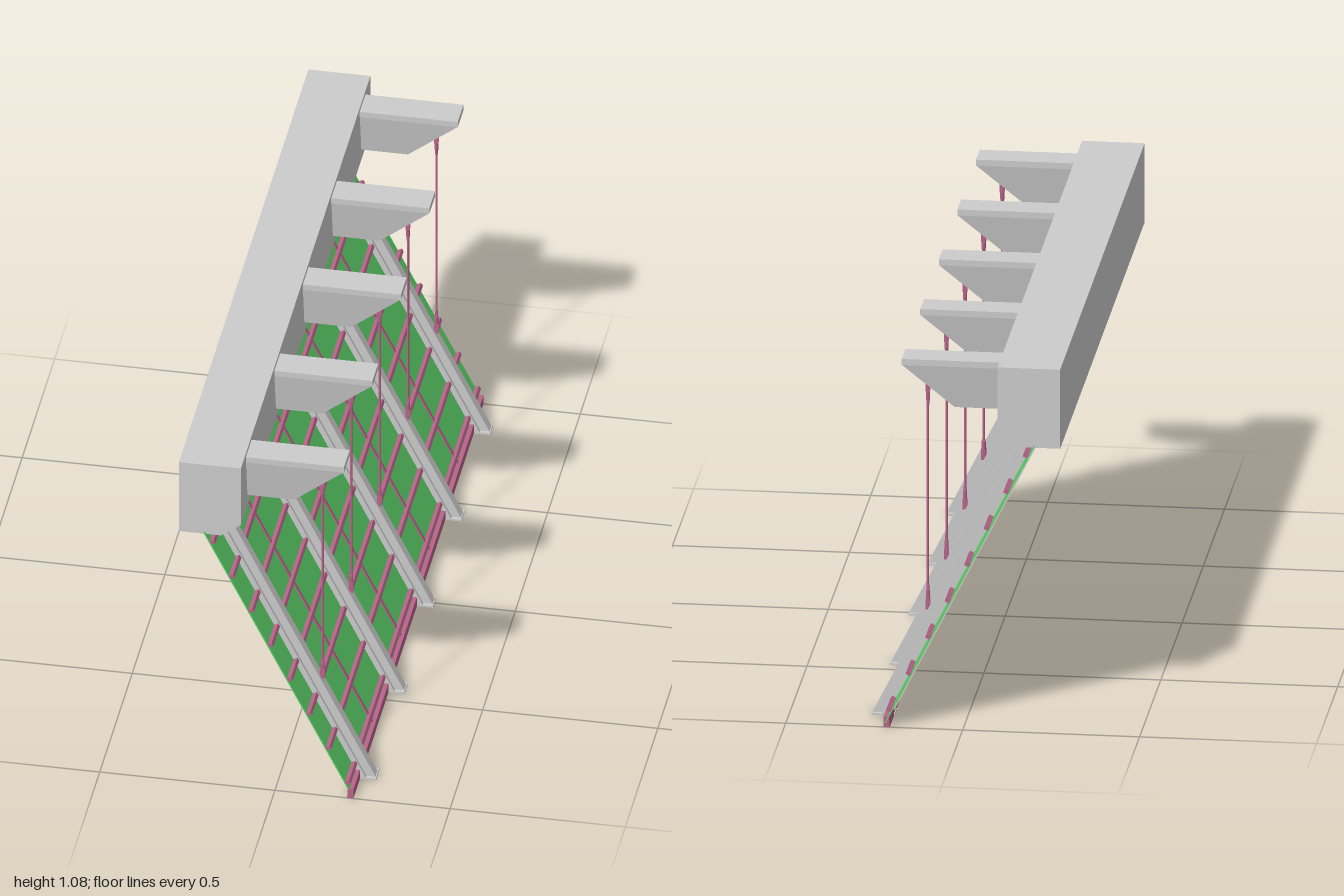
import * as THREE from 'three';

const grey = new THREE.MeshStandardMaterial({ color: 0xcccccc, flatShading: true });
const green = new THREE.MeshStandardMaterial({ color: 0x5fd46c, flatShading: true });
const pink = new THREE.MeshStandardMaterial({ color: 0xb8648a, flatShading: true });

const TOP = 0.845, SLOPE = 0.42 / 0.835;
const ANGLE = Math.atan(SLOPE);
// x of the sloping back line at height y
const backX = (y) => -0.212 + (TOP - y) * SLOPE;

function add(parent, name, geometry, material) {
  const mesh = new THREE.Mesh(geometry, material);
  mesh.name = name;
  parent.add(mesh);
  return mesh;
}

// Side profile (x, y) extruded along z, centred on z = 0
function prism(points, width) {
  const shape = new THREE.Shape(points.map(([x, y]) => new THREE.Vector2(x, y)));
  return new THREE.ExtrudeGeometry(shape, { depth: width, bevelEnabled: false }).translate(0, 0, -width / 2);
}

// Sloping slab between two horizontal offsets from the back line
function slab(d0, d1, y0, y1, width) {
  return prism([
    [backX(y0) + d0, y0], [backX(y0) + d1, y0],
    [backX(y1) + d1, y1], [backX(y1) + d0, y1],
  ], width);
}

function makeBracket() {
  const g = new THREE.Group();
  g.name = 'roofBracket';
  // Corbel narrows towards its underside
  const corbel = prism([[-0.1, 0.92], [0.035, 0.92], [0.182, 1.047], [-0.1, 1.047]], 0.084);
  const p = corbel.attributes.position;
  for (let i = 0; i < p.count; i++) {
    const t = (p.getY(i) - 0.92) / 0.127;
    p.setZ(i, p.getZ(i) * (0.45 + 0.55 * t));
  }
  corbel.computeVertexNormals();
  add(g, 'corbel', corbel, grey);
  add(g, 'corbelCap', new THREE.BoxGeometry(0.282, 0.018, 0.088).translate(0.041, 1.056, 0), grey);
  return g;
}

function makeRod() {
  const g = new THREE.Group();
  g.name = 'tieRod';
  const x = 0.113, low = 0.325, high = 0.978;
  add(g, 'rod', new THREE.CylinderGeometry(0.0035, 0.0035, high - low, 8).translate(x, (low + high) / 2, 0), pink);
  const socket = [[0.0035, 0], [0.006, 0.006], [0.006, 0.028], [0.004, 0.038], [0.004, 0.045], [0.0035, 0.05]]
    .map(([r, y]) => new THREE.Vector2(r, y));
  for (const [y, dir] of [[low, 1], [high, -1]]) {
    const end = new THREE.Group();
    end.name = 'rodEnd';
    end.position.set(x, y, 0);
    if (dir < 0) end.rotation.z = Math.PI;
    add(end, 'socket', new THREE.LatheGeometry(socket, 8).translate(0, 0.012, 0), pink);
    // Fork plates, pin and anchor plate
    for (const s of [-1, 1])
      add(end, 'forkPlate', new THREE.BoxGeometry(0.013, 0.032, 0.003).translate(0, 0.004, s * 0.005), pink);
    add(end, 'pin', new THREE.CylinderGeometry(0.004, 0.004, 0.02, 8).rotateX(Math.PI / 2), pink);
    const plate = add(end, 'anchorPlate', new THREE.BoxGeometry(0.006, 0.042, 0.026), pink);
    plate.position.set(-0.006 * dir, -0.008, 0);
    plate.rotation.z = dir > 0 ? ANGLE : -0.85;
    g.add(end);
  }
  return g;
}

function makePost() {
  const g = new THREE.Group();
  g.name = 'post';
  add(g, 'backRib', slab(0, 0.012, 0.004, TOP + 0.01, 0.028), grey);
  add(g, 'flange', slab(0.012, 0.031, 0.004, TOP + 0.01, 0.05), grey);
  add(g, 'outerRib', slab(0.031, 0.057, 0.004, TOP + 0.01, 0.03), grey);
  add(g, 'footPlate', new THREE.BoxGeometry(0.066, 0.006, 0.05).translate(0.237, 0.003, 0), grey);
  return g;
}

export function createModel() {
  const model = new THREE.Group();
  model.name = 'slopedScreen';

  // Top beam with chamfered lower front edge
  add(model, 'topBeam', prism([
    [-0.275, 0.843], [-0.155, 0.843], [-0.098, 0.885], [-0.098, 1.077], [-0.275, 1.077],
  ], 1.99), grey);

  // Glazed panel and sill
  add(model, 'panel', slab(0.01, 0.014, 0.012, TOP + 0.005, 2), green);
  add(model, 'sill', prism([
    [0.206, 0], [0.224, 0], [0.224, 0.03], [backX(0.03) + 0.01, 0.03],
  ], 2), pink);

  // Posts, brackets and tie rods
  for (let i = -2; i <= 2; i++) {
    const bay = new THREE.Group();
    bay.name = 'frame';
    bay.position.z = i * 0.4375;
    bay.add(makePost(), makeBracket(), makeRod());
    model.add(bay);
  }

  // Slim mullions midway between the posts
  for (const z of [-0.656, -0.219, 0.219, 0.656])
    add(model, 'mullion', slab(0.002, 0.018, 0.02, TOP + 0.005, 0.012), pink).position.z = z;

  // Horizontal rails
  for (let i = 0; i < 8; i++) {
    const y = 0.052 + i * 0.1097;
    const rail = add(model, 'rail', new THREE.BoxGeometry(0.014, 0.011, 2), pink);
    rail.position.set(backX(y) + 0.021, y, 0);
    rail.rotation.z = ANGLE;
  }
  return model;
}
